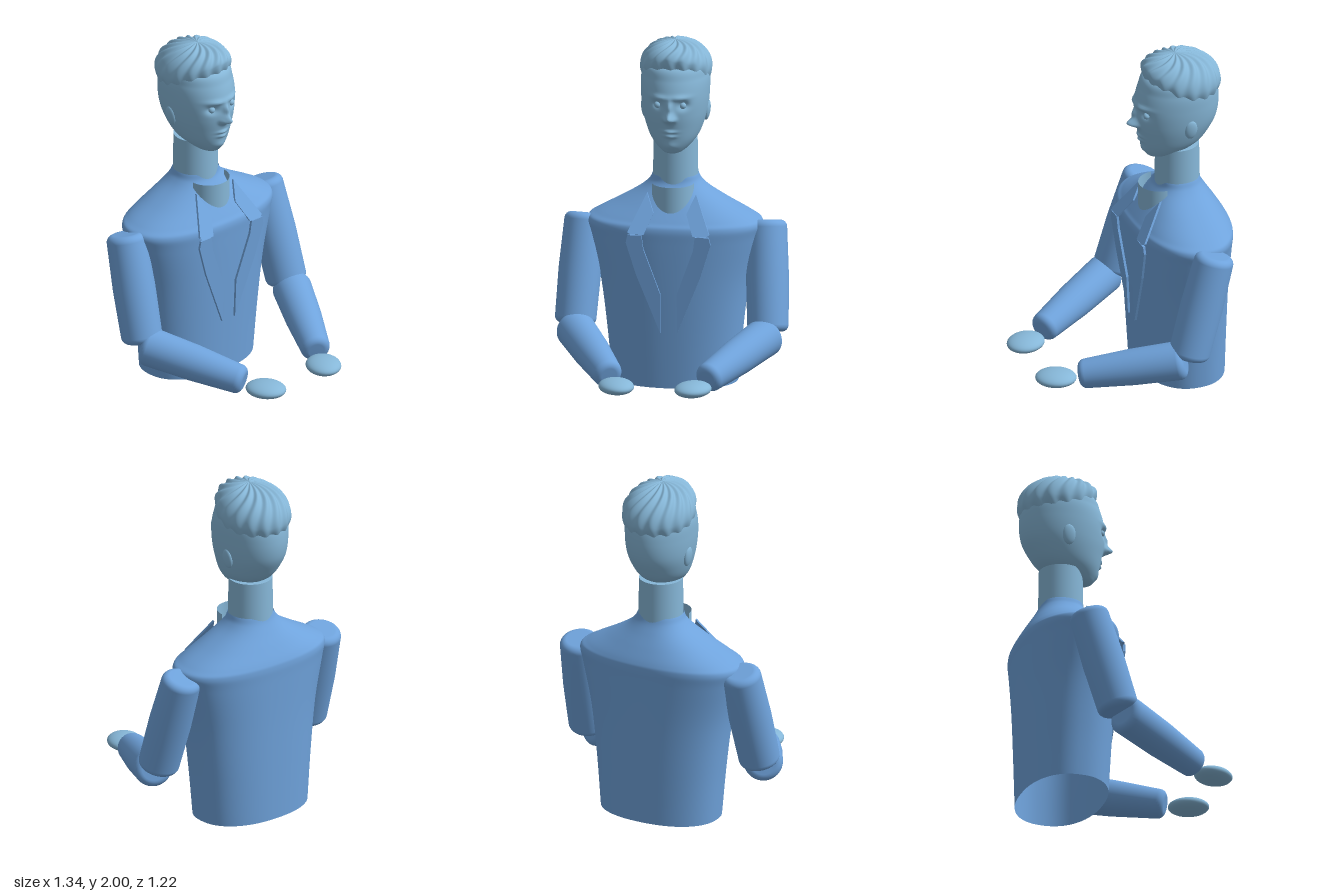
import * as THREE from 'three';

const suit = new THREE.MeshStandardMaterial({ color: 0x6fa3dc, side: THREE.DoubleSide });
suit.name = 'suit blue';
const skin = new THREE.MeshStandardMaterial({ color: 0x86b7d8, side: THREE.DoubleSide });
skin.name = 'skin pale blue';

function add(group, name, geometry, material) {
  const mesh = new THREE.Mesh(geometry, material);
  mesh.name = name;
  group.add(mesh);
  return mesh;
}

// Closed rings joined from bottom to top; point(angle, t) returns [x, y, z]
function ringSurface(point, rows, seg) {
  const pos = [], index = [];
  for (let i = 0; i <= rows; i++) {
    for (let j = 0; j < seg; j++) pos.push(...point((j / seg) * Math.PI * 2, i / rows));
  }
  for (let i = 0; i < rows; i++) {
    for (let j = 0; j < seg; j++) {
      const a = i * seg + j, b = i * seg + (j + 1) % seg;
      index.push(a, b, a + seg, b, b + seg, a + seg);
    }
  }
  const g = new THREE.BufferGeometry();
  g.setAttribute('position', new THREE.Float32BufferAttribute(pos, 3));
  g.setIndex(index);
  g.computeVertexNormals();
  return g;
}

// Smooth body from [y, half width, front z, back z] sections
function sectionBody(sections, power, rows, seg, shape = (p) => p) {
  const front = new THREE.CatmullRomCurve3(
    sections.map(([y, w, f]) => new THREE.Vector3(w, y, f)), false, 'catmullrom');
  const back = new THREE.CatmullRomCurve3(
    sections.map(([y, w, f, b]) => new THREE.Vector3(w, y, b)), false, 'catmullrom');
  const curve = (v) => Math.sign(v) * Math.abs(v) ** (2 / power);
  return ringSurface((angle, t) => {
    const f = front.getPoint(t), b = back.getPoint(t);
    const mid = (f.z + b.z) / 2, half = (f.z - b.z) / 2;
    return shape([f.x * curve(Math.sin(angle)), f.y, mid + half * curve(Math.cos(angle))], angle);
  }, rows, seg);
}

// Tapered limb with rounded rims
function limb(group, name, from, to, r1, r2) {
  const a = new THREE.Vector3(...from), b = new THREE.Vector3(...to);
  const dir = b.clone().sub(a), length = dir.length(), e = 0.04;
  const profile = [new THREE.Vector2(0, 0)];
  for (let i = 0; i <= 6; i++) {
    const q = (i / 6) * Math.PI / 2;
    profile.push(new THREE.Vector2(r1 - e + e * Math.sin(q), e - e * Math.cos(q)));
  }
  profile.push(new THREE.Vector2((r1 + r2) / 2 + 0.006, length / 2));
  for (let i = 0; i <= 6; i++) {
    const q = (i / 6) * Math.PI / 2;
    profile.push(new THREE.Vector2(r2 - e + e * Math.cos(q), length - e + e * Math.sin(q)));
  }
  profile.push(new THREE.Vector2(0, length));
  const mesh = add(group, name, new THREE.LatheGeometry(profile, 40), suit);
  mesh.position.copy(a);
  mesh.quaternion.setFromUnitVectors(new THREE.Vector3(0, 1, 0), dir.normalize());
}

// Flat cloth panel laid along the chest
function panel(points, side) {
  const shape = new THREE.Shape(points.map(([x, y]) => new THREE.Vector2(x * side, y)));
  const g = new THREE.ExtrudeGeometry(shape, { depth: 0.014, bevelEnabled: false });
  const p = g.attributes.position;
  for (let i = 0; i < p.count; i++) {
    const d = p.getY(i) - 0.92;
    p.setZ(i, p.getZ(i) - 0.055 + (d > 0 ? -0.68 * d : 0.045 * d));
  }
  g.computeVertexNormals();
  return g;
}

// Facial relief: [x, y, spread x, spread y, height]
const relief = [
  [0, 1.6, 0.024, 0.028, 0.06], [0, 1.66, 0.016, 0.035, 0.025],
  [0.025, 1.59, 0.014, 0.015, 0.02], [-0.025, 1.59, 0.014, 0.015, 0.02],
  [0.075, 1.67, 0.032, 0.025, -0.024], [-0.075, 1.67, 0.032, 0.025, -0.024],
  [0.06, 1.715, 0.05, 0.014, 0.014], [-0.06, 1.715, 0.05, 0.014, 0.014],
  [0, 1.512, 0.035, 0.009, 0.014], [0, 1.484, 0.03, 0.009, 0.014],
  [0, 1.42, 0.04, 0.025, 0.01],
];
function faceRelief([x, y, z], angle) {
  if (Math.cos(angle) > 0) {
    for (const [cx, cy, sx, sy, h] of relief) {
      z += h * Math.exp(-(((x - cx) / sx) ** 2) - ((y - cy) / sy) ** 2);
    }
  }
  return [x, y, z];
}

// Swirled hair cap: the rim rises towards the front, grooves twist to the crown
function hairPoint(angle, t) {
  const c = Math.cos(angle), s = Math.sin(angle);
  const wideY = 1.83 + 0.02 * c + 0.07 * Math.max(c, 0) ** 2;
  let r, y;
  if (t < 0.2) {
    const k = t / 0.2;
    r = 0.93 + 0.07 * Math.sin(k * Math.PI / 2);
    y = wideY - 0.06 * (1 - k);
  } else {
    const q = ((t - 0.2) / 0.8) * Math.PI / 2;
    r = Math.cos(q);
    y = wideY + (2 - wideY) * Math.sin(q);
  }
  const wave = Math.sin(16 * angle + 9 * r * r) * Math.min(1, r * 1.6);
  const swell = 1 + 0.022 * wave;
  const centre = -0.335 - 0.037 * r;
  return [0.203 * r * s * swell, y + 0.007 * wave * (t > 0.2 ? 1 : t / 0.2), centre + 0.228 * r * c * swell];
}

export function createModel() {
  const model = new THREE.Group();
  model.name = 'bust';

  // Jacket, open below
  add(model, 'jacket', sectionBody([
    [0, 0.36, -0.10, -0.59], [0.3, 0.387, -0.085, -0.595], [0.6, 0.425, -0.07, -0.60],
    [0.85, 0.482, -0.06, -0.607], [0.94, 0.5, -0.06, -0.61], [0.98, 0.45, -0.085, -0.60],
    [1.05, 0.32, -0.135, -0.56], [1.12, 0.205, -0.185, -0.515], [1.17, 0.15, -0.22, -0.485],
    [1.21, 0.13, -0.23, -0.47],
  ], 2.25, 72, 80), suit);

  // Neck and shirt front
  const neck = add(model, 'neck', new THREE.CylinderGeometry(0.125, 0.13, 0.3, 48), skin);
  neck.position.set(0, 1.27, -0.35);
  const shirt = new THREE.CylinderGeometry(0.12, 0.12, 1, 40, 1, true, -Math.PI / 2, Math.PI);
  const sp = shirt.attributes.position;
  for (let i = 0; i < sp.count; i++) {
    const u = Math.min(1, Math.abs(sp.getX(i)) / 0.12);
    sp.setY(i, sp.getY(i) > 0 ? 1.18 : 1.1 - 0.09 * Math.sqrt(1 - u * u));
    sp.setZ(i, sp.getZ(i) - 0.24);
  }
  add(model, 'shirtFront', shirt, skin);

  // Head and hair
  add(model, 'head', sectionBody([
    [1.357, 0, -0.235, -0.235], [1.37, 0.05, -0.175, -0.30], [1.40, 0.093, -0.15, -0.40],
    [1.45, 0.135, -0.13, -0.485], [1.52, 0.165, -0.115, -0.54], [1.60, 0.185, -0.10, -0.58],
    [1.70, 0.195, -0.095, -0.592], [1.80, 0.193, -0.12, -0.575], [1.88, 0.16, -0.165, -0.51],
    [1.93, 0, -0.33, -0.33],
  ], 2, 110, 140, faceRelief), skin);
  add(model, 'hair', ringSurface(hairPoint, 50, 192), skin);

  for (const s of [1, -1]) {
    const side = s > 0 ? 'left' : 'right';

    // Eye and ear
    const eye = add(model, side + 'Eye', new THREE.SphereGeometry(0.019, 20, 14), skin);
    eye.position.set(s * 0.073, 1.668, -0.131);
    const ear = add(model, side + 'Ear', new THREE.SphereGeometry(1, 24, 16), skin);
    ear.scale.set(0.018, 0.06, 0.038);
    ear.position.set(s * 0.18, 1.583, -0.36);
    ear.rotation.z = -s * 0.12;

    // Arm and hand
    limb(model, side + 'UpperArm', [s * 0.522, 0.945, -0.365], [s * 0.553, 0.335, -0.185], 0.114, 0.118);
    limb(model, side + 'Forearm', [s * 0.56, 0.325, -0.165], [s * 0.277, 0.2, 0.37], 0.112, 0.085);
    const hand = add(model, side + 'Hand', new THREE.SphereGeometry(1, 32, 20), skin);
    hand.scale.set(0.1, 0.043, 0.118);
    hand.position.set(s * 0.22, 0.177, 0.49);
    hand.rotation.y = -s * 0.45;

    // Lapel and collar
    add(model, side + 'Lapel', panel([
      [0.233, 0.915], [0.243, 0.87], [0.185, 0.68], [0.048, 0.335],
      [0.048, 0.57], [0.143, 0.835], [0.153, 0.915],
    ], s), suit);
    add(model, side + 'Collar', panel([
      [0.14, 1.13], [0.235, 0.93], [0.215, 0.92], [0.14, 0.92], [0.095, 1.03],
    ], s), suit);
  }
  return model;
}
